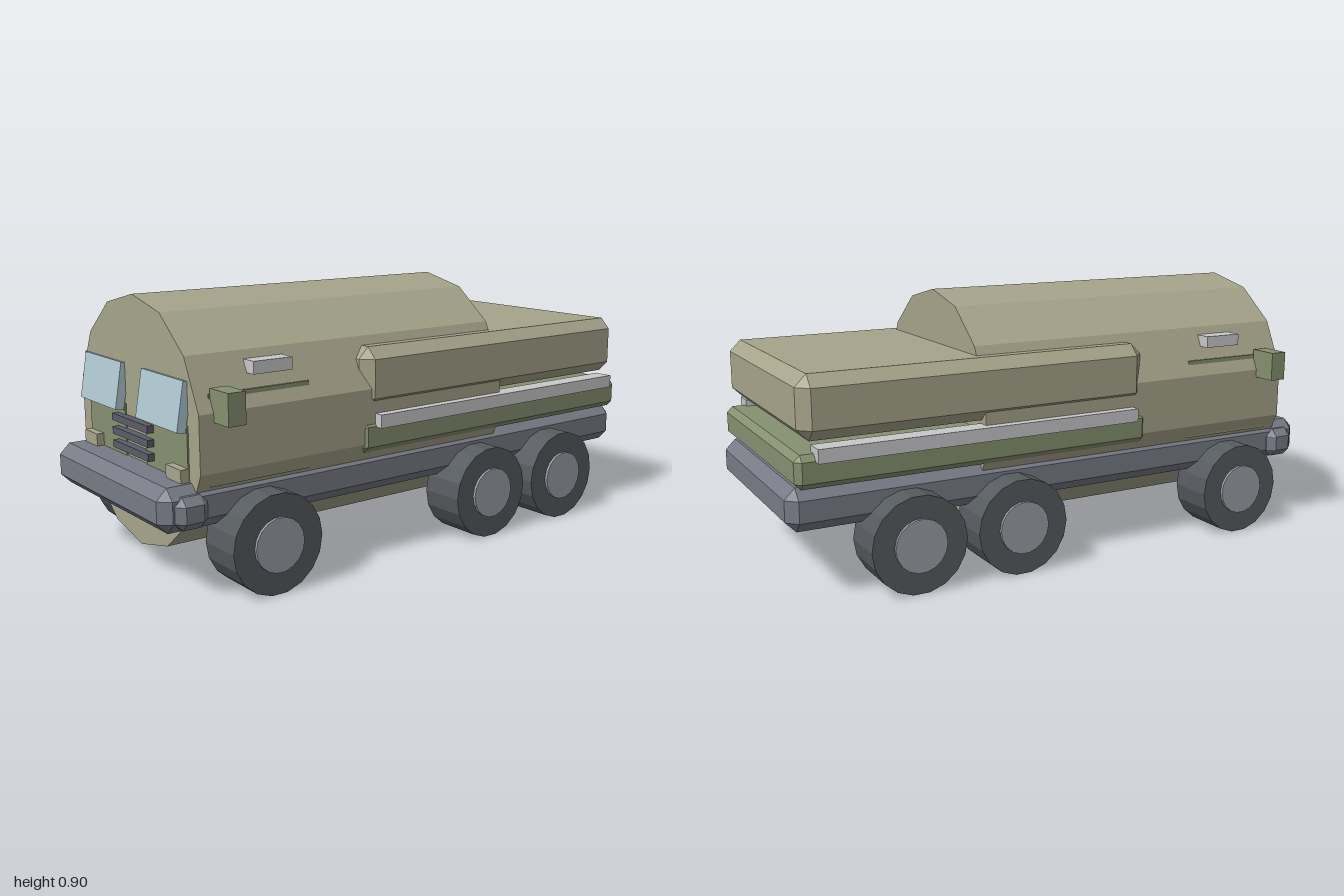
import * as THREE from 'three';
import { ConvexGeometry } from 'three/addons/geometries/ConvexGeometry.js';

const mat = (name, color) => {
  const m = new THREE.MeshStandardMaterial({ color, flatShading: true });
  m.name = name;
  return m;
};

// Box with every edge and corner cut by c
function chamferBox(w, h, d, c) {
  const [x, y, z] = [w / 2, h / 2, d / 2];
  const pts = [];
  for (const sx of [-1, 1]) for (const sy of [-1, 1]) for (const sz of [-1, 1]) {
    pts.push(
      new THREE.Vector3(sx * x, sy * (y - c), sz * (z - c)),
      new THREE.Vector3(sx * (x - c), sy * y, sz * (z - c)),
      new THREE.Vector3(sx * (x - c), sy * (y - c), sz * z));
  }
  return new ConvexGeometry(pts);
}

export function createModel() {
  const tan = mat('tan paint', 0xa6a48a);
  const green = mat('green paint', 0x869070);
  const steel = mat('chassis grey', 0x787b86);
  const rubber = mat('tyre rubber', 0x565b5f);
  const hubGrey = mat('hub grey', 0x9a9ea6);
  const glass = mat('window glass', 0xb0c9d3);
  const silver = mat('light grey trim', 0xc8c8cb);
  const dark = mat('grille grey', 0x5a5c68);

  const model = new THREE.Group();
  model.name = 'truck';
  const add = (name, geo, material, x = 0, y = 0, z = 0) => {
    const mesh = new THREE.Mesh(geo, material);
    mesh.name = name;
    mesh.position.set(x, y, z);
    model.add(mesh);
    return mesh;
  };
  // Box given by its limits on each axis, optionally chamfered
  const block = (name, material, [x0, x1], [y0, y1], [z0, z1], c = 0) => {
    const s = [x1 - x0, y1 - y0, z1 - z0];
    const geo = c ? chamferBox(...s, c) : new THREE.BoxGeometry(...s);
    return add(name, geo, material, (x0 + x1) / 2, (y0 + y1) / 2, (z0 + z1) / 2);
  };
  // Block repeated on both sides
  const pair = (name, material, [x0, x1], ys, zs) => {
    block(name + 'Left', material, [x0, x1], ys, zs);
    block(name + 'Right', material, [-x1, -x0], ys, zs);
  };

  // Fourteen-sided barrel body with a corner at the top
  const barrel = new THREE.CylinderGeometry(0.408, 0.408, 1.225, 14);
  barrel.rotateX(Math.PI / 2);
  add('barrelBody', barrel, tan, 0, 0.492, 0.2675);

  // Stacked rear body and chassis
  block('upperBed', tan, [-0.405, 0.405], [0.512, 0.717], [-0.96, 0.27], 0.038);
  block('lowerBed', green, [-0.405, 0.405], [0.37, 0.478], [-0.978, 0.28], 0.02);
  block('chassis', steel, [-0.38, 0.38], [0.228, 0.368], [-1, 1], 0.035);
  block('bumperEnds', steel, [-0.408, 0.408], [0.24, 0.342], [0.85, 0.96], 0.025);
  pair('sideRail', silver, [0.36, 0.43], [0.455, 0.5], [-0.915, 0.225]);

  // Front of the cab
  pair('frontPanel', green, [0.07, 0.333], [0.35, 0.54], [0.878, 0.885]);
  pair('headlight', tan, [0.24, 0.333], [0.355, 0.41], [0.86, 0.91]);
  for (const s of [-1, 1]) {
    const pane = add(s > 0 ? 'windscreenLeft' : 'windscreenRight',
      new THREE.BoxGeometry(0.264, 0.155, 0.03), glass, s * 0.202, 0.598, 0.891);
    pane.rotation.x = -0.17;
  }
  for (let i = 0; i < 3; i++) {
    const y = 0.402 + i * 0.045;
    block('grilleBar' + (i + 1), dark, [-0.122, 0.122], [y - 0.012, y + 0.012], [0.87, 0.907]);
  }

  // Cab sides
  pair('door', green, [0.3, 0.379], [0.355, 0.636], [0.475, 0.835]);
  pair('mirror', green, [0.378, 0.48], [0.555, 0.655], [0.77, 0.83]);
  pair('markerLamp', silver, [0.328, 0.39], [0.68, 0.72], [0.545, 0.685]);

  // Three axles of wheels with hubs showing on both faces
  const tyre = new THREE.CylinderGeometry(0.162, 0.162, 0.162, 18).rotateZ(Math.PI / 2);
  const hub = new THREE.CylinderGeometry(0.088, 0.088, 0.18, 18).rotateZ(Math.PI / 2);
  [0.655, -0.245, -0.61].forEach((z, i) => {
    for (const s of [-1, 1]) {
      const label = (s > 0 ? 'Left' : 'Right') + (i + 1);
      add('tyre' + label, tyre, rubber, s * 0.387, 0.163, z);
      add('hub' + label, hub, hubGrey, s * 0.388, 0.163, z);
    }
  });

  return model;
}
